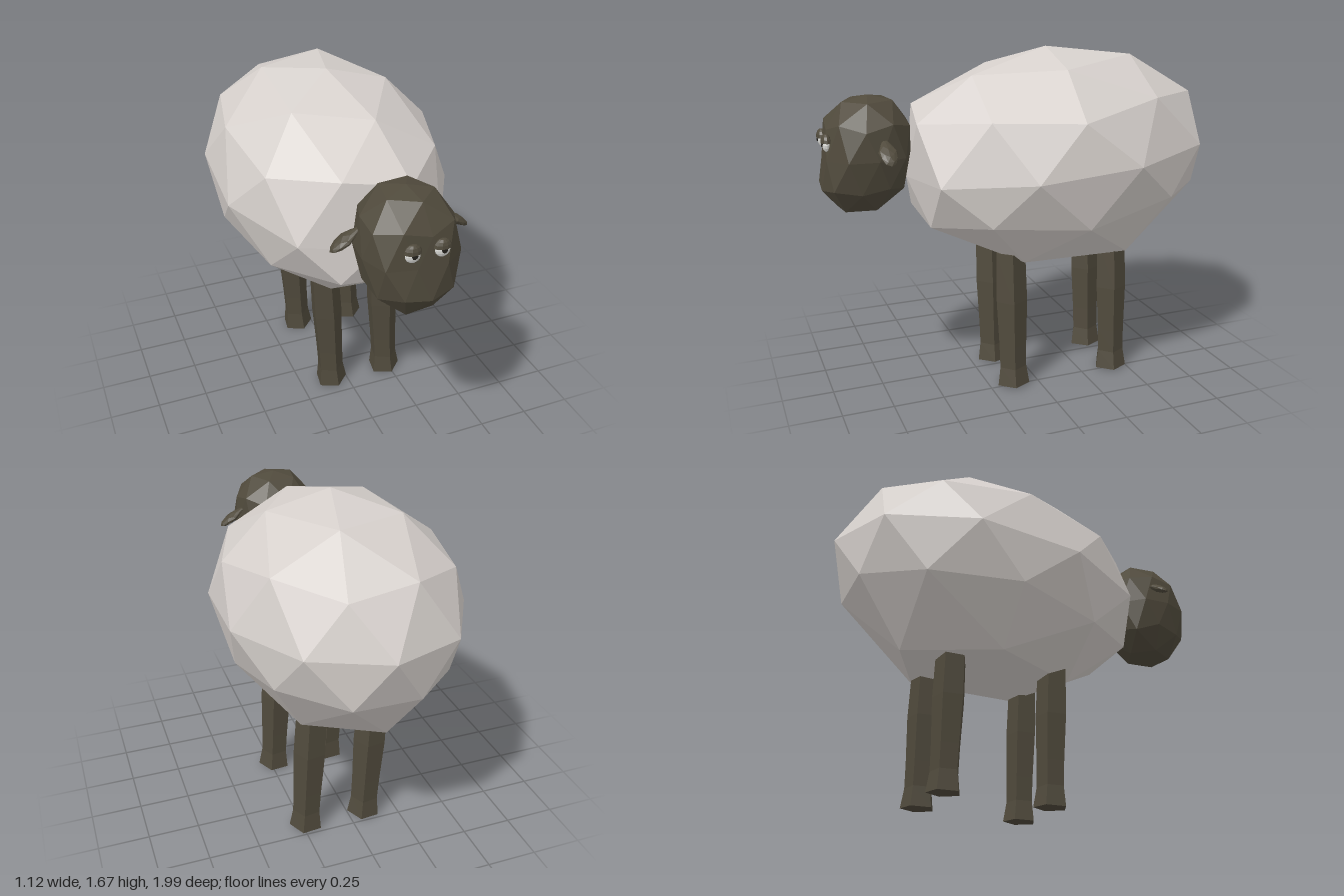
import * as THREE from 'three';

const flat = (name, color) => {
  const m = new THREE.MeshStandardMaterial({ color, flatShading: true });
  m.name = name;
  return m;
};

const add = (parent, name, geometry, material) => {
  const mesh = new THREE.Mesh(geometry, material);
  mesh.name = name;
  parent.add(mesh);
  return mesh;
};

// Moves every vertex by a rule
function reshape(geometry, rule) {
  const p = geometry.attributes.position;
  const v = new THREE.Vector3();
  for (let i = 0; i < p.count; i++) {
    rule(v.fromBufferAttribute(p, i));
    p.setXYZ(i, v.x, v.y, v.z);
  }
  geometry.computeVertexNormals();
  return geometry;
}

// Faceted ball with one corner pointing straight up
function facetedBall(degrees) {
  const t = (1 + Math.sqrt(5)) / 2;
  return new THREE.IcosahedronGeometry(1, 1)
    .rotateX(-Math.atan(t))
    .rotateY(THREE.MathUtils.degToRad(degrees));
}

export function createModel() {
  const model = new THREE.Group();
  model.name = 'sheep';
  const wool = flat('wool', 0xd6d0cc);
  const skin = flat('dark skin', 0x504a3c);
  const white = flat('eye white', 0xdededa);
  const black = flat('pupil', 0x24221d);

  // Woolly body: stretched ball, tail end raised, fuller and flatter below
  const body = facetedBall(15)
    .scale(0.582, 0.53, 0.82)
    .rotateX(THREE.MathUtils.degToRad(5))
    .translate(0, 1.14, -0.18);
  reshape(body, v => {
    const along = v.z + 0.2;
    if (v.y < 0.77) {
      // Belly corners level out at the tops of the legs
      if (Math.hypot(v.x, along) > 0.1) v.y = 0.65;
      v.x *= 1.04;
      v.z += along * 0.08;
    } else if (v.y < 0.96) {
      // Lower flank corners
      v.y += Math.abs(along) * 0.06;
      v.z += along * 0.06;
    } else if (v.y > 1.2 && v.z > 0.4) {
      // Collar corners above the neck
      v.y += 0.035;
      v.z += 0.015;
    }
    v.z = Math.min(v.z, 0.58);
  });
  add(model, 'body', body, wool);

  // Head: squarish ball with a flattened face and a forward chin
  const head = new THREE.Group();
  head.name = 'head';
  model.add(head);
  const skull = reshape(facetedBall(8), v => {
    const p = 2.6;
    const size = Math.abs(v.x) ** p + Math.abs(v.y) ** p + Math.abs(v.z) ** p;
    v.divideScalar(size ** (1 / p));
    v.set(v.x * 0.216, v.y * 0.275, v.z * 0.215);
    v.z += 0.785 - v.y * 0.1;
    if (v.y < -0.1) v.x *= 0.95;
    v.y += 1.205;
    v.z = Math.min(v.z, 0.975 - (v.y - 1.2) * 0.12);
  });
  add(head, 'skull', skull, skin);

  for (const side of [-1, 1]) {
    const label = side > 0 ? 'left' : 'right';

    // Drooping leaf-shaped ear, narrow at the root
    const ear = reshape(new THREE.IcosahedronGeometry(1, 1), v => {
      const width = v.x < 0 ? 1 + v.x * 0.6 : 1;
      v.set(v.x * 0.085, v.y * 0.02 * width, v.z * 0.043 * width);
    });
    const earMesh = add(head, label + 'Ear', ear, skin);
    earMesh.position.set(side * 0.25, 1.257, 0.725);
    earMesh.rotation.z = side > 0 ? -0.6 : Math.PI + 0.6;

    // Half-closed eye, set shallow in the face
    const eye = new THREE.Group();
    eye.name = label + 'Eye';
    eye.position.set(side * 0.066 + 0.005, 1.276, 0.966);
    head.add(eye);
    add(eye, 'eyeball', new THREE.SphereGeometry(0.035, 10, 8).scale(1, 1, 0.55), white);
    const pupil = add(eye, 'pupil', new THREE.CylinderGeometry(0.013, 0.013, 0.008, 8).rotateX(Math.PI / 2), black);
    pupil.position.set(0, 0.003, 0.018);
    const lid = new THREE.SphereGeometry(0.04, 10, 4, 0, Math.PI * 2, 0, Math.PI / 2).scale(1, 1, 0.62);
    const lidMesh = add(eye, 'eyelid', lid, skin);
    lidMesh.position.y = 0.009;
  }

  // Five-sided legs with flared hooves, leaning slightly to one side
  const profile = [[0, 0.005], [0.084, 0.005], [0.07, 0.1], [0.072, 0.22], [0.081, 0.45], [0.076, 0.7], [0, 0.7]]
    .map(([r, y]) => new THREE.Vector2(r, y));
  for (const [end, z] of [['front', 0.128], ['back', -0.42]]) {
    for (const [label, x] of [['Right', -0.083], ['Left', 0.23]]) {
      const leg = new THREE.LatheGeometry(profile, 5, THREE.MathUtils.degToRad(81));
      reshape(leg, v => {
        v.x -= v.y * 0.055;
        if (v.y < 0.05) v.y = Math.max(0, v.y + v.x * 0.06);
      });
      add(model, end + label + 'Leg', leg, skin).position.set(x, 0, z);
    }
  }
  return model;
}
